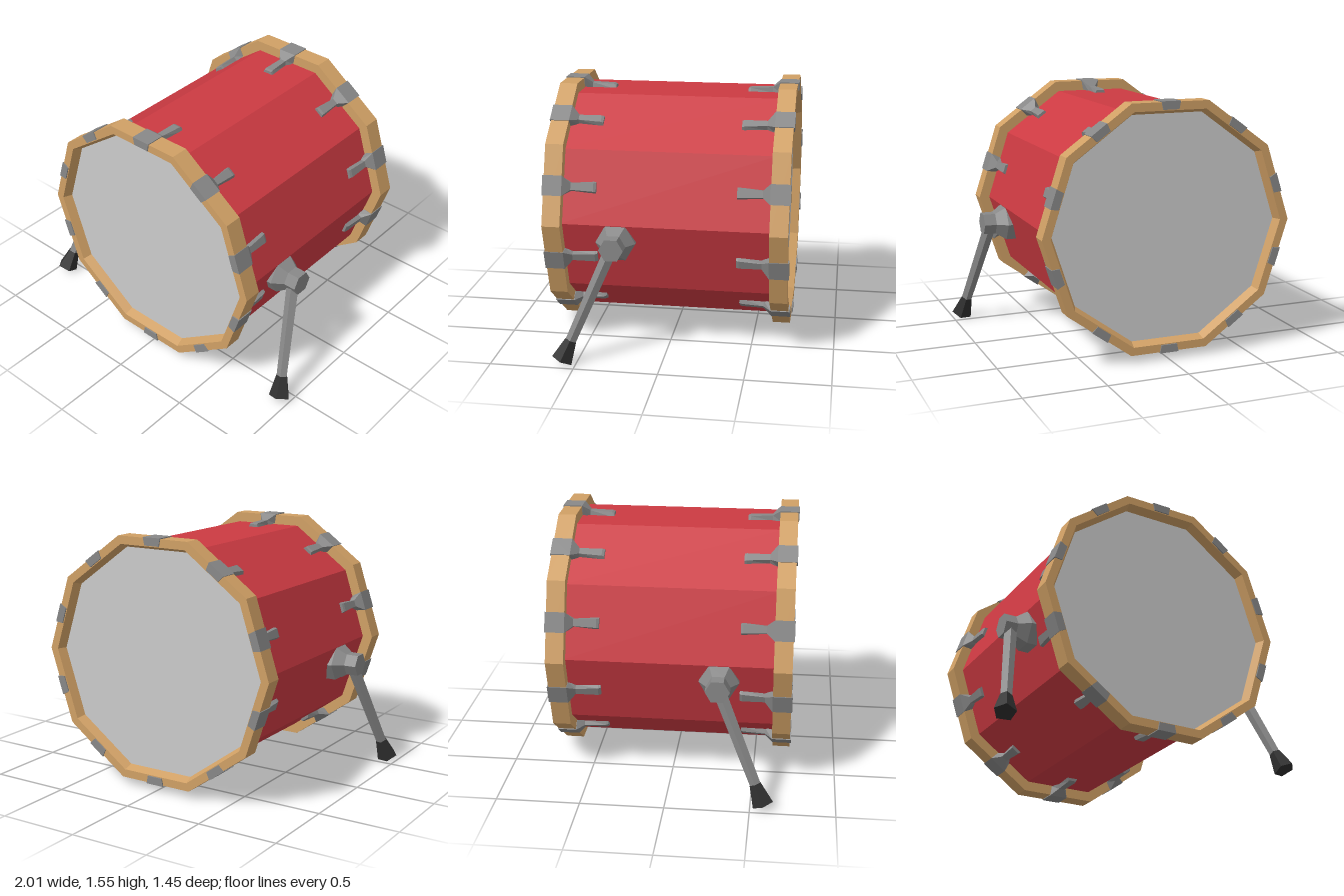
import * as THREE from 'three';

const SIDES = 10, CENTRE_Y = 0.8;
const paint = (color) => new THREE.MeshStandardMaterial({ color, flatShading: true });
const red = paint(0xcc3a42), wood = paint(0xd0a065), metal = paint(0x888888);
const rubber = paint(0x2f2f2f), skin = paint(0xcccccc);

function part(name, geometry, material) {
  const mesh = new THREE.Mesh(geometry, material);
  mesh.name = name;
  return mesh;
}

// Ten-sided turning about the z axis, with a corner on the x axis; profile is [radius, z]
function turned(profile) {
  const points = profile.map(([r, z]) => new THREE.Vector2(r, z));
  return new THREE.LatheGeometry(points, SIDES, Math.PI / 2).rotateX(Math.PI / 2);
}

// Loft of four-cornered sections [z, bottom half width, top half width, bottom y, top y], z falling
function loft(sections) {
  const pos = [], index = [];
  for (const [z, wb, wt, y0, y1] of sections) pos.push(-wb, y0, z, wb, y0, z, wt, y1, z, -wt, y1, z);
  for (let s = 0; s < sections.length - 1; s++) {
    for (let k = 0; k < 4; k++) {
      const a = s * 4 + k, b = s * 4 + (k + 1) % 4;
      index.push(a, a + 4, b, b, a + 4, b + 4);
    }
  }
  const e = (sections.length - 1) * 4;
  index.push(0, 1, 2, 0, 2, 3, e, e + 2, e + 1, e, e + 3, e + 2);
  const g = new THREE.BufferGeometry();
  g.setAttribute('position', new THREE.Float32BufferAttribute(pos, 3));
  g.setIndex(index);
  g.computeVertexNormals();
  return g;
}

// Tapered rod between two points
function rod(name, from, to, r0, r1, sides, material) {
  const dir = to.clone().sub(from);
  const mesh = part(name, new THREE.CylinderGeometry(r1, r0, dir.length(), sides), material);
  mesh.position.copy(from).add(to).multiplyScalar(0.5);
  mesh.quaternion.setFromUnitVectors(new THREE.Vector3(0, 1, 0), dir.normalize());
  return mesh;
}

// One end of the drum: hoop, recessed head and ten tension claws
function drumEnd() {
  const end = new THREE.Group();
  end.add(part('hoop', turned([[0.70, 0.612], [0.785, 0.612], [0.785, 0.72], [0.733, 0.72], [0.71, 0.665], [0.70, 0.612]]), wood));
  end.add(part('drumHead', turned([[0.715, 0.665], [0, 0.665]]), skin));
  const clawShape = loft([
    [0.727, 0.05, 0.06, 0.703, 0.752],
    [0.61, 0.05, 0.06, 0.69, 0.752],
    [0.565, 0.025, 0.02, 0.68, 0.714],
    [0.43, 0.036, 0.026, 0.68, 0.708],
    [0.415, 0.036, 0.026, 0.68, 0.702],
  ]);
  for (let i = 0; i < SIDES; i++) {
    const claw = part('tensionClaw', clawShape, metal);
    claw.rotation.z = i * Math.PI * 2 / SIDES;
    end.add(claw);
  }
  return end;
}

// Spur leg with its flared six-sided bracket
function spurLeg(side) {
  const leg = new THREE.Group();
  const profile = [[0, 0.64], [0.12, 0.64], [0.12, 0.715], [0.073, 0.78], [0.073, 0.857], [0, 0.857]];
  const bracket = new THREE.LatheGeometry(profile.map(([r, x]) => new THREE.Vector2(r, x)), 6);
  bracket.rotateZ(-Math.PI / 2);
  if (side < 0) bracket.rotateY(Math.PI);
  const mount = part('legBracket', bracket, metal);
  mount.position.set(0, 0.695, 0.295);
  leg.add(mount);
  const top = new THREE.Vector3(side * 0.80, 0.69, 0.30);
  const tip = new THREE.Vector3(side * 0.938, 0.03, 0.578);
  const ankle = top.clone().lerp(tip, 0.82);
  leg.add(rod('legRod', top, ankle, 0.04, 0.034, 5, metal));
  leg.add(rod('rubberFoot', ankle, tip, 0.036, 0.066, 5, rubber));
  return leg;
}

export function createModel() {
  const model = new THREE.Group();
  model.name = 'bassDrum';

  const drum = new THREE.Group();
  drum.name = 'drum';
  drum.position.y = CENTRE_Y;
  drum.add(part('shell', turned([[0.72, -0.63], [0.72, 0.63]]), red));
  const front = drumEnd(), back = drumEnd();
  front.name = 'frontEnd';
  back.name = 'backEnd';
  back.rotation.y = Math.PI;
  drum.add(front, back);
  model.add(drum);

  for (const side of [1, -1]) {
    const leg = spurLeg(side);
    leg.name = side > 0 ? 'leftLeg' : 'rightLeg';
    model.add(leg);
  }
  return model;
}
